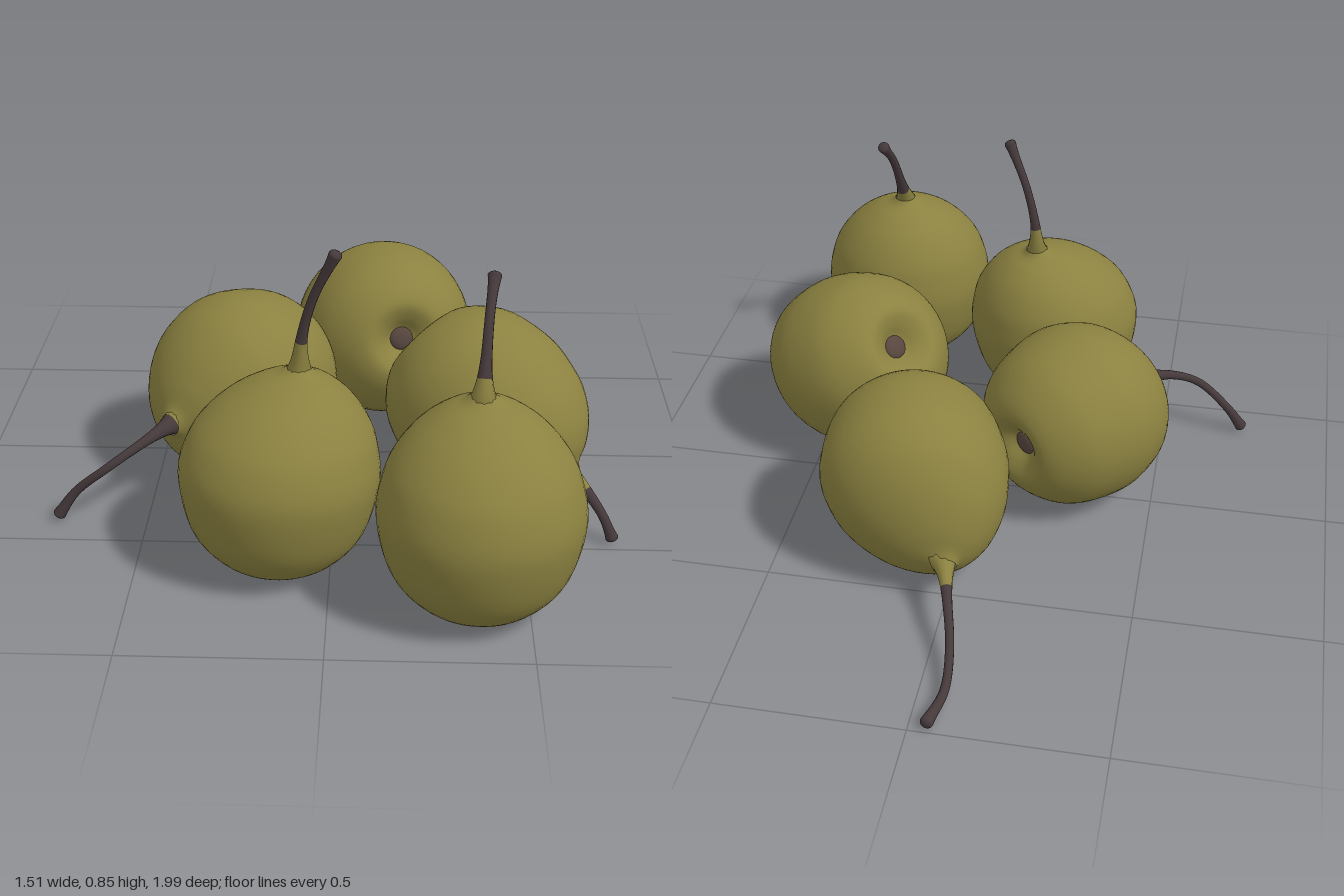
import * as THREE from 'three';
import { mergeVertices } from 'three/addons/utils/BufferGeometryUtils.js';

const V = (a) => new THREE.Vector3(...a);

// c: body centre, axis: from blossom end to neck, stem: points from the neck out,
// green: share of the stem that is still fruit-coloured
const PEARS = [
  { name: 'frontRightPear', c: [-0.13, 0.25, 0.56], axis: [0.05, 1, -0.05], green: 0.27,
    stem: [[-0.08, 0.515, 0.5], [-0.073, 0.6, 0.498], [-0.045, 0.71, 0.51], [0.012, 0.84, 0.54]] },
  { name: 'frontLeftPear', c: [0.373, 0.25, 0.742], axis: [0, 1, 0], green: 0.22,
    stem: [[0.37, 0.545, 0.695], [0.375, 0.62, 0.66], [0.383, 0.72, 0.605], [0.395, 0.793, 0.54]] },
  { name: 'leftPear', c: [0.403, 0.265, 0.195], axis: [0.63, -0.55, 0.46], green: 0.4,
    stem: [[0.625, 0.155, 0.375], [0.665, 0.13, 0.415], [0.71, 0.075, 0.45], [0.737, 0.018, 0.47]] },
  { name: 'backPear', c: [0.128, 0.262, -0.303], axis: [-0.25, -0.25, -0.93], green: 0.2,
    stem: [[0, 0.135, -0.535], [-0.03, 0.105, -0.64], [-0.06, 0.06, -0.76], [-0.07, 0.028, -0.88], [-0.047, 0.02, -0.985]] },
  { name: 'rightPear', c: [-0.268, 0.255, 0.05], axis: [-0.6, 0.05, 0.8], green: 0.08,
    stem: [[-0.44, 0.235, 0.28], [-0.51, 0.212, 0.35], [-0.6, 0.162, 0.4], [-0.69, 0.085, 0.395], [-0.738, 0.018, 0.4]] },
];

// Half outline: dimpled blossom end, round belly, tapered shoulder of height L
function profile(L) {
  const low = [[0, -0.195], [0.03, -0.2], [0.065, -0.228], [0.11, -0.243], [0.17, -0.208], [0.228, -0.13]];
  const high = [[0.257, 0], [0.241, 0.33], [0.212, 0.54], [0.162, 0.74], [0.1, 0.89], [0.05, 0.965], [0.03, 1.02]];
  const pts = [...low, ...high.map(([r, u]) => [r, u * L])].map((p) => new THREE.Vector2(...p));
  const out = new THREE.SplineCurve(pts).getPoints(48);
  out.forEach((p) => { p.x = Math.max(p.x, 0); });
  return out;
}

// Body of revolution turned to its axis, with the shoulder bent towards the neck
function bodyGeometry(c, axis, neck) {
  const toNeck = neck.clone().sub(c);
  const L = toNeck.dot(axis);
  const bend = toNeck.clone().addScaledVector(axis, -L);
  let g = new THREE.LatheGeometry(profile(L), 48);
  const p = g.attributes.position;
  const turn = new THREE.Quaternion().setFromUnitVectors(new THREE.Vector3(0, 1, 0), axis);
  const v = new THREE.Vector3();
  for (let i = 0; i < p.count; i++) {
    v.fromBufferAttribute(p, i);
    const s = Math.max(0, v.y / L);
    v.applyQuaternion(turn).add(c).addScaledVector(bend, s * s);
    p.setXYZ(i, v.x, Math.max(0, v.y), v.z);
  }
  g.deleteAttribute('uv');
  g.deleteAttribute('normal');
  g = mergeVertices(g, 1e-5);
  g.computeVertexNormals();
  return g;
}

// Tube that flares into the fruit and thickens at the tip
function stemGeometry(curve, green) {
  const n = 40, sides = 12;
  const g = new THREE.TubeGeometry(curve, n, 1, sides);
  const p = g.attributes.position, nor = g.attributes.normal;
  const length = curve.getLength();
  const v = new THREE.Vector3();
  for (let i = 0; i <= n; i++) {
    const t = i / n;
    const centre = curve.getPointAt(t);
    const r = 0.0115 + 0.04 * Math.exp(-t * length / 0.045) + 0.006 * t ** 10;
    for (let j = 0; j <= sides; j++) {
      const k = i * (sides + 1) + j;
      v.fromBufferAttribute(nor, k).multiplyScalar(r).add(centre);
      p.setXYZ(k, v.x, v.y, v.z);
    }
  }
  const split = Math.round(green * n) * sides * 6;
  g.addGroup(0, split, 0);
  g.addGroup(split, Infinity, 1);
  return g;
}

export function createModel() {
  const skin = new THREE.MeshStandardMaterial({ name: 'olive skin', color: 0x8b8140 });
  const bark = new THREE.MeshStandardMaterial({ name: 'dark stem', color: 0x45393a });
  const husk = new THREE.MeshStandardMaterial({ name: 'brown husk', color: 0x57463f });
  const model = new THREE.Group();
  model.name = 'pears';

  for (const spec of PEARS) {
    const pear = new THREE.Group();
    pear.name = spec.name;
    const add = (name, geometry, material) => {
      const m = new THREE.Mesh(geometry, material);
      m.name = name;
      pear.add(m);
      return m;
    };
    const c = V(spec.c), axis = V(spec.axis).normalize();
    const points = spec.stem.map(V);
    const neck = points[0];

    add('body', bodyGeometry(c, axis, neck), skin);

    // Stem rooted a little inside the shoulder
    const root = neck.clone().addScaledVector(neck.clone().sub(c).normalize(), -0.03);
    const curve = new THREE.CatmullRomCurve3([root, ...points]);
    add('stem', stemGeometry(curve, spec.green), [skin, bark]);

    const tip = add('stemTip', new THREE.SphereGeometry(0.0175, 12, 8), bark);
    tip.position.copy(points[points.length - 1]);
    tip.scale.y = 0.6;
    tip.quaternion.setFromUnitVectors(new THREE.Vector3(0, 1, 0), curve.getTangentAt(1));

    // Dried blossom end in the dimple
    const calyx = add('calyx', new THREE.SphereGeometry(0.036, 16, 8), husk);
    calyx.scale.y = 0.4;
    calyx.position.copy(c).addScaledVector(axis, -0.198);
    calyx.quaternion.setFromUnitVectors(new THREE.Vector3(0, 1, 0), axis);

    model.add(pear);
  }
  return model;
}
